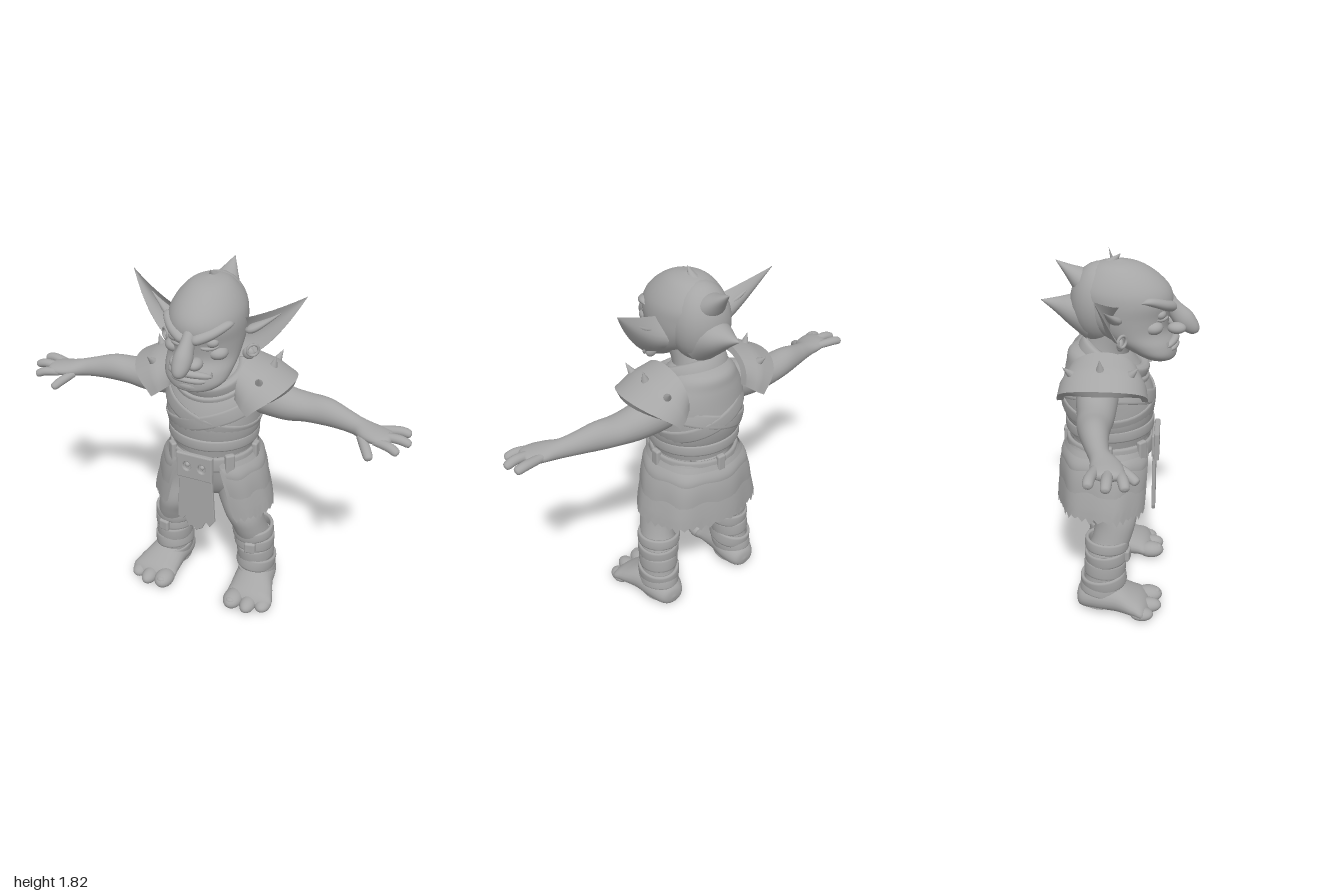
import * as THREE from 'three';
import { mergeVertices, toCreasedNormals } from 'three/addons/utils/BufferGeometryUtils.js';
import { RoundedBoxGeometry } from 'three/addons/geometries/RoundedBoxGeometry.js';
import { ParametricGeometry } from 'three/addons/geometries/ParametricGeometry.js';

const V = (x, y, z) => new THREE.Vector3(x, y, z);
const lerp = THREE.MathUtils.lerp;
const X = V(1, 0, 0), Y = V(0, 1, 0), Z = V(0, 0, 1);

// smooth surface from a rule, with seams and poles welded
function surface(fn, nu, nv) {
  const g = new ParametricGeometry(fn, nu, nv);
  g.deleteAttribute('normal');
  g.deleteAttribute('uv');
  const m = mergeVertices(g, 1e-5);
  m.computeVertexNormals();
  return m;
}

// elliptical rings [x, y, z, a, b] joined smoothly; a lies along "up"
function sweep(rows, { up = X, axis = null, nu = 24, nv = rows.length * 5 } = {}) {
  const path = new THREE.CatmullRomCurve3(rows.map(r => V(r[0], r[1], r[2])), false, 'catmullrom');
  const radii = new THREE.CatmullRomCurve3(rows.map(r => V(r[3], r[4], 0)), false, 'catmullrom');
  return surface((u, v, out) => {
    const T = axis || path.getTangent(v), r = radii.getPoint(v), t = u * Math.PI * 2;
    const A = up.clone().addScaledVector(T, -up.dot(T)).normalize();
    const B = T.clone().cross(A);
    out.copy(path.getPoint(v))
      .addScaledVector(A, Math.max(0, r.x) * Math.cos(t))
      .addScaledVector(B, Math.max(0, r.y) * Math.sin(t));
  }, nu, nv);
}

// rounded strap around an elliptical body part
function band(x, y, z, rx, rz, h, thick, tiltX = 0, tiltZ = 0) {
  const pts = [];
  for (let i = 0; i <= 12; i++) {
    const t = i / 12 * Math.PI * 2 - Math.PI / 2;
    const c = Math.cos(t), s = Math.sin(t);
    pts.push(new THREE.Vector2(1 + thick * Math.sign(c) * Math.abs(c) ** 0.6, h / 2 * Math.sign(s) * Math.abs(s) ** 0.6));
  }
  return new THREE.LatheGeometry(pts, 40).scale(rx, 1, rz).rotateX(tiltX).rotateZ(tiltZ).translate(x, y, z);
}

const ball = (x, y, z, a, b, c) => new THREE.SphereGeometry(1, 24, 16).scale(a, b, c).translate(x, y, z);

function spike(from, to, r) {
  const d = to.clone().sub(from), h = d.length();
  const q = new THREE.Quaternion().setFromUnitVectors(Y, d.normalize());
  return new THREE.ConeGeometry(r, h, 14).translate(0, h / 2, 0).applyQuaternion(q).translate(from.x, from.y, from.z);
}

function mirrored(geo) {
  const g = geo.index ? geo.clone() : mergeVertices(geo);
  g.scale(-1, 1, 1);
  const a = g.index.array;
  for (let i = 0; i < a.length; i += 3) [a[i], a[i + 1]] = [a[i + 1], a[i]];
  return g;
}

export function createModel() {
  const model = new THREE.Group();
  const clay = new THREE.MeshStandardMaterial({ color: 0xa6a6a6, side: THREE.DoubleSide });
  clay.name = 'grey clay';
  const add = (name, geo) => {
    const m = new THREE.Mesh(geo, clay);
    m.name = name;
    model.add(m);
  };
  const pair = (name, geo) => {
    add(name + 'Left', geo);
    add(name + 'Right', mirrored(geo));
  };

  // head, jaw and neck
  add('head', sweep([
    [0, 1.318, .2, 0, 0], [0, 1.325, .2, .09, .07], [0, 1.36, .175, .145, .105], [0, 1.41, .125, .165, .145],
    [0, 1.47, .06, .172, .18], [0, 1.54, .03, .178, .215], [0, 1.61, .03, .18, .23], [0, 1.67, .02, .168, .22],
    [0, 1.73, .01, .132, .17], [0, 1.775, .0, .08, .1], [0, 1.795, 0, 0, 0]], { axis: Y, nu: 36 }));
  add('neck', sweep([[0, 1.26, -.08, .13, .13], [0, 1.38, -.05, .11, .11], [0, 1.5, 0, .12, .12]]));

  // face
  add('nose', sweep([[0, 1.62, .22, .03, .03], [0, 1.56, .265, .034, .04], [0, 1.51, .31, .045, .05],
    [0, 1.475, .345, .04, .04], [0, 1.45, .368, .024, .024], [0, 1.44, .375, 0, 0]]));
  pair('nostril', ball(.045, 1.478, .278, .034, .028, .045));
  pair('brow', sweep([[.015, 1.575, .255, 0, 0], [.03, 1.58, .25, .024, .03], [.09, 1.605, .215, .025, .03],
    [.145, 1.635, .15, .018, .025], [.165, 1.63, .11, 0, 0]], { up: Y }));
  pair('eye', ball(.088, 1.56, .197, .036, .026, .03));
  pair('lowerEyelid', sweep([[.045, 1.548, .228, 0, 0], [.06, 1.535, .226, .009, .012], [.1, 1.533, .2, .009, .012],
    [.135, 1.55, .16, 0, 0]], { up: Y, nu: 10 }));
  pair('cheek', ball(.105, 1.5, .165, .05, .035, .05));
  add('upperLip', sweep([[-.12, 1.395, .215, 0, 0], [-.08, 1.41, .25, .014, .016], [0, 1.418, .272, .018, .02],
    [.08, 1.41, .25, .014, .016], [.12, 1.395, .215, 0, 0]], { up: Y }));
  add('lowerLip', sweep([[-.1, 1.38, .235, 0, 0], [-.06, 1.385, .262, .013, .016], [0, 1.388, .275, .014, .018],
    [.06, 1.385, .262, .013, .016], [.1, 1.38, .235, 0, 0]], { up: Y }));
  add('chin', ball(0, 1.352, .238, .075, .034, .045));
  pair('tusk', spike(V(.1, 1.385, .228), V(.11, 1.435, .24), .013));

  // cupped pointed ears with rings
  const earTop = new THREE.QuadraticBezierCurve3(V(.15, 1.61, .02), V(.28, 1.645, -.01), V(.44, 1.73, -.08));
  const earLow = new THREE.CubicBezierCurve3(V(.16, 1.42, .03), V(.25, 1.43, .02), V(.36, 1.57, -.01), V(.44, 1.73, -.08));
  pair('ear', surface((u, v, out) => {
    const t = u * Math.PI * 2, w = .5 - .5 * Math.cos(t), top = earTop.getPoint(v), low = earLow.getPoint(v);
    const s = Math.sin(w * Math.PI), fade = 1 - v;
    out.copy(top).lerp(low, w);
    out.z -= s * fade * (t < Math.PI ? .085 : .055);
  }, 28, 16));
  pair('earFold', sweep([[.17, 1.56, .0, 0, 0], [.2, 1.56, .0, .02, .03], [.27, 1.6, -.03, .012, .02], [.34, 1.65, -.05, 0, 0]], { up: Y, nu: 12 }));
  pair('earlobe', ball(.2, 1.445, .02, .03, .03, .018));
  pair('earring', new THREE.TorusGeometry(.028, .007, 8, 24).rotateY(.7).translate(.225, 1.47, .03));

  // hair cap and swept back spikes
  add('hairCap', ball(0, 1.585, -.085, .15, .195, .145));
  add('hairSpikeUpper', sweep([[0, 1.62, -.08, .11, .09], [0, 1.69, -.17, .075, .06], [0, 1.735, -.23, .04, .03], [0, 1.785, -.295, 0, 0]]));
  add('hairSpikeLower', sweep([[0, 1.52, -.12, .12, .12], [0, 1.55, -.22, .085, .075], [0, 1.57, -.295, .042, .036], [0, 1.59, -.372, 0, 0]]));
  for (const [i, x] of [-.1, -.05, 0, .05, .1].entries())
    add('hairTuft' + i, spike(V(x, 1.755 - x * x * 6, -.05), V(x * 1.1, 1.82 - Math.abs(x) * .9, .01 - Math.abs(x) * .3), .036));

  // torso, scarf and chest wraps
  add('torso', sweep([[0, .9, -.04, .2, .19], [0, .96, -.04, .215, .2], [0, 1.02, -.045, .236, .22], [0, 1.1, -.05, .242, .23],
    [0, 1.2, -.06, .24, .21], [0, 1.29, -.08, .2, .175], [0, 1.36, -.1, .14, .13], [0, 1.4, -.1, 0, 0]], { axis: Y, nu: 40 }));
  add('scarf', band(0, 1.305, -.025, .155, .155, .1, .18, .42));
  add('scarfLower', band(0, 1.265, -.02, .165, .155, .07, .16, .42));
  add('waistWrap', band(0, .975, -.043, .222, .213, .06, .05));
  add('chestWrapA', band(0, 1.11, -.05, .243, .228, .075, .035, .05, .3));
  add('chestWrapB', band(0, 1.12, -.05, .243, .228, .075, .035, .05, -.34));

  // curved shoulder plates with studs
  const pad = (s, phi, inset) => {
    const k = Math.sin(phi), e = k ** .75;
    return V(lerp(lerp(.17, .25, s), lerp(.18, .41, s), k) - inset * .3,
      lerp(lerp(1.24, 1.18, s), lerp(1.4, 1.3, s), e) - inset * k,
      -.06 + Math.cos(phi) * (lerp(.175, .215, s) - inset));
  };
  const plate = [[0, 0], [.5, -.012], [1, 0], [1, .03], [0, .03], [0, 0]];
  pair('shoulderPlate', toCreasedNormals(surface((u, v, out) => {
    const f = Math.min(u * 5, 4.9999), i = Math.floor(f), w = f - i;
    out.copy(pad(lerp(plate[i][0], plate[i + 1][0], w), v * Math.PI, lerp(plate[i][1], plate[i + 1][1], w)));
  }, 20, 26), .8));
  for (const phi of [.85, 1.6, 2.35]) {
    const p = pad(.5, phi, .02);
    const d = V(.25, Math.sin(phi), Math.cos(phi)).normalize();
    pair('shoulderStud', spike(p, p.clone().addScaledVector(d, .085), .03));
  }

  // arms and hands
  pair('arm', sweep([[.12, 1.22, -.08, .1, .1], [.24, 1.19, -.085, .1, .1], [.37, 1.165, -.08, .084, .088], [.47, 1.165, -.08, .07, .08],
    [.57, 1.168, -.07, .068, .066], [.67, 1.158, -.05, .053, .052], [.74, 1.15, -.03, .044, .048], [.8, 1.147, -.005, .037, .066],
    [.86, 1.147, .01, .03, .07], [.9, 1.145, .012, .022, .055], [.915, 1.143, .012, 0, 0]], { up: Y }));
  const fingers = [
    [V(.84, 1.15, -.04), V(.93, 1.155, -.058), V(.985, 1.145, -.062)],
    [V(.85, 1.15, .012), V(.94, 1.152, .012), V(1, 1.135, .01)],
    [V(.84, 1.142, .055), V(.91, 1.14, .075), V(.96, 1.12, .088)],
    [V(.77, 1.135, .03), V(.81, 1.11, .09), V(.84, 1.085, .135)]];
  for (const [a, b, c] of fingers) {
    const end = c.clone().lerp(b, .18);
    pair('finger', sweep([[...a, .02, .022], [...b, .022, .024], [...end, .018, .02], [...c, 0, 0]], { up: Y, nu: 14 }));
  }

  // belt, loops and buckle
  add('belt', band(0, .865, -.042, .215, .212, .085, .05));
  const frame = new THREE.Shape([[-.09, -.065], [.09, -.065], [.09, .065], [-.09, .065]].map(p => new THREE.Vector2(...p)));
  for (const s of [-1, 1]) frame.holes.push(new THREE.Path().absellipse(s * .04, 0, .026, .03, 0, Math.PI * 2, true));
  add('buckle', new THREE.ExtrudeGeometry(frame, { depth: .015, bevelSize: .006, bevelThickness: .006, bevelSegments: 2 }).translate(0, .86, .188));
  add('bucklePlate', new RoundedBoxGeometry(.17, .12, .025, 3, .008).translate(0, .86, .182));
  pair('buckleStud', ball(.04, .865, .196, .013, .013, .013));
  for (const a of [.75, 1.57])
    pair('beltLoop', new RoundedBoxGeometry(.05, .125, .03, 3, .01).rotateY(a).translate(.227 * Math.sin(a), .865, -.042 + .225 * Math.cos(a)));
  add('beltLoopBack', new RoundedBoxGeometry(.045, .12, .03, 3, .01).translate(0, .865, -.262));

  // layered ragged skirt, open at the front
  const skirt = (yTop, yHem, grow, gap, teeth, jag) => surface((u, v, out) => {
    const g = gap + v * .14, t = lerp(g, Math.PI * 2 - g, u), c = Math.cos(t), s = Math.sin(t);
    const y = lerp(yTop, yHem, v), d = (.9 - y) / .35;
    const puff = grow + .012 * Math.sin(v * Math.PI) + .006 * Math.sin(u * 40) * v;
    const tooth = v > .99 ? jag * (Math.round(u * teeth * 2) % 2) * (.7 + .3 * Math.sin(u * 61)) : 0;
    out.set(Math.sign(s) * Math.abs(s) ** .85 * (lerp(.2, .315, d) + puff), y - tooth,
      -.04 + Math.sign(c) * Math.abs(c) ** .85 * (c > 0 ? lerp(.195, .2, d) + puff * .6 : lerp(.2, .265, d) + puff));
  }, teeth * 2, 12);
  add('skirtLower', skirt(.9, .56, .008, .4, 34, .035));
  add('skirtMiddle', skirt(.88, .675, .018, .42, 34, .006));
  add('skirtUpper', skirt(.86, .765, .02, .45, 34, .004));

  // hanging front cloth
  const cloth = new THREE.Shape([[-.085, .82], [-.1, .53], [-.075, .515], [-.06, .535], [-.04, .475], [-.015, .485], [0, .465], [.03, .48],
    [.055, .53], [.075, .505], [.1, .54], [.085, .82]].map(p => new THREE.Vector2(...p)));
  add('frontCloth', new THREE.ExtrudeGeometry(cloth, { depth: .012, bevelSize: .003, bevelThickness: .003, bevelSegments: 1 }).translate(0, 0, .178));

  // hips, legs and wraps
  add('hips', sweep([[0, .58, -.05, 0, 0], [0, .61, -.05, .13, .1], [0, .7, -.05, .21, .16], [0, .86, -.04, .2, .19]], { axis: Y }));
  pair('leg', sweep([[.11, .76, -.05, .12, .13], [.14, .64, -.04, .115, .125], [.185, .52, -.005, .1, .108], [.215, .43, -.015, .088, .1],
    [.235, .32, -.05, .092, .1], [.245, .2, -.055, .088, .1], [.25, .1, -.07, .09, .11], [.25, .03, -.07, .09, .11]], { axis: Y }));
  pair('legWrapTop', band(.228, .385, -.045, .1, .103, .06, .1, .05, .06));
  pair('legWrapUpper', band(.236, .32, -.05, .098, .1, .07, .09, -.06, -.05));
  pair('legWrapMiddle', band(.242, .25, -.055, .092, .1, .08, .08, .06, .03));
  pair('legWrapLower', band(.246, .18, -.062, .096, .108, .075, .1, -.12, -.12));
  pair('legWrapAnkle', band(.25, .125, -.065, .093, .112, .06, .07, .15, .1));
  pair('wrapKnot', new RoundedBoxGeometry(.06, .065, .035, 3, .012).rotateY(.2).translate(.25, .325, .058));

  // broad feet with toes turned outward
  pair('foot', sweep([[.245, .06, -.205, 0, 0], [.246, .065, -.185, .065, .055], [.25, .08, -.1, .1, .08], [.262, .08, 0, .105, .08],
    [.278, .062, .09, .12, .06], [.285, .045, .15, .118, .043], [.288, .04, .19, 0, 0]], { up: X, axis: Z }));
  pair('bigToe', ball(.205, .046, .17, .052, .044, .072));
  pair('middleToe', ball(.292, .04, .175, .042, .038, .065));
  pair('outerToe', ball(.365, .036, .14, .043, .034, .06));
  pair('bigToenail', ball(.205, .066, .21, .026, .016, .022));

  return model;
}
